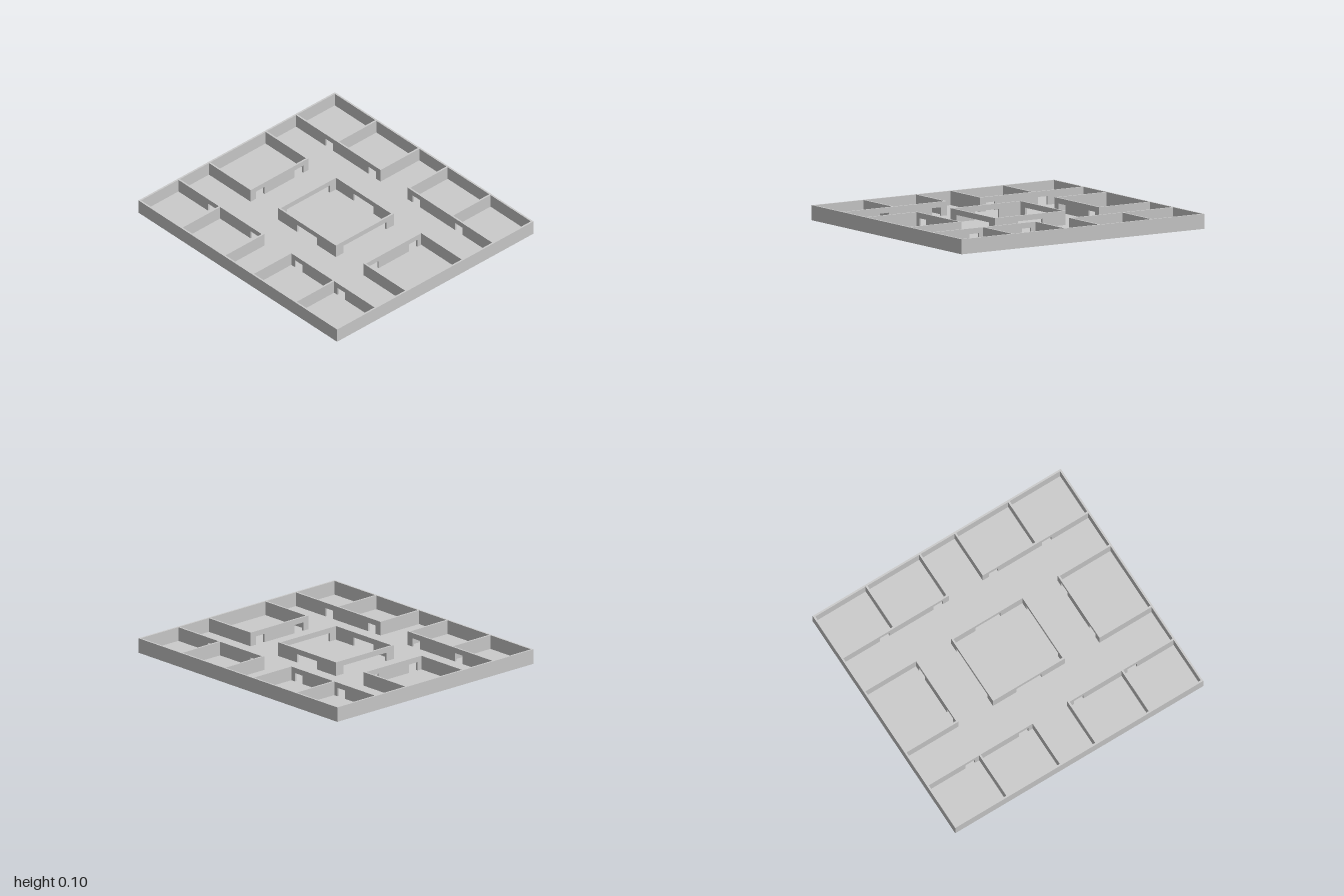
import * as THREE from 'three';

const H = 0.104, DOOR = 0.066, T = 0.013;
const W = 1, D = 0.91; // half width and half depth of the plan
const material = new THREE.MeshStandardMaterial({ color: 0xcccccc, flatShading: true });

// Straight wall from a to b along one axis, with door openings cut up from its foot.
function wall(name, axis, a, b, at, doors = []) {
  const s = new THREE.Shape();
  s.moveTo(a, 0);
  for (const [d0, d1] of [...doors].sort((p, q) => p[0] - q[0])) {
    s.lineTo(d0, 0);
    s.lineTo(d0, DOOR);
    s.lineTo(d1, DOOR);
    s.lineTo(d1, 0);
  }
  s.lineTo(b, 0);
  s.lineTo(b, H);
  s.lineTo(a, H);
  s.closePath();
  const g = new THREE.ExtrudeGeometry(s, { depth: T, bevelEnabled: false });
  g.translate(0, 0, -T / 2);
  if (axis === 'z') g.rotateY(-Math.PI / 2);
  g.translate(axis === 'z' ? at : 0, 0, axis === 'z' ? 0 : at);
  const m = new THREE.Mesh(g, material);
  m.name = name;
  return m;
}

// Mirrors a span [a, b] to the chosen side.
const span = (side, a, b) => (side > 0 ? [a, b] : [-b, -a]);

export function createModel() {
  const model = new THREE.Group();
  model.name = 'floorPlan';
  const h = T / 2;

  // Floor slab
  const floor = new THREE.Mesh(new THREE.BoxGeometry(2 * W, 0.006, 2 * D), material);
  floor.position.y = 0.003;
  floor.name = 'floor';
  model.add(floor);

  for (const s of [1, -1]) {
    // Outer walls
    model.add(wall('outerWall', 'x', -W, W, s * (D - h)));
    model.add(wall('outerSideWall', 'z', -D, D, s * (W - h)));

    // Central room: a doorway front and back, wide openings at the sides
    model.add(wall('centralRoomWall', 'x', -0.29, 0.29, s * 0.262, [[-0.1, 0.1]]));
    model.add(wall('centralRoomSideWall', 'z', -0.262 - h, 0.262 + h, s * 0.284, [[-0.2, 0.2]]));

    // Side room: two doors in the inner wall
    model.add(wall('sideRoomInnerWall', 'z', -0.262 - h, 0.262 + h, s * 0.574,
      [[-0.22, -0.14], [0.14, 0.22]]));

    for (const t of [1, -1]) {
      model.add(wall('sideRoomEndWall', 'x', ...span(s, 0.574, W - h), t * 0.262));

      // Pair of corner rooms, one door each
      model.add(wall('cornerRoomWall', 'x', ...span(s, 0.143 - h, W - h), t * 0.545,
        [span(s, 0.185, 0.26), span(s, 0.615, 0.69)]));
      for (const x of [0.143, 0.574])
        model.add(wall('cornerRoomDivider', 'z', ...span(t, 0.545, D - h), s * x));
    }
  }
  return model;
}
